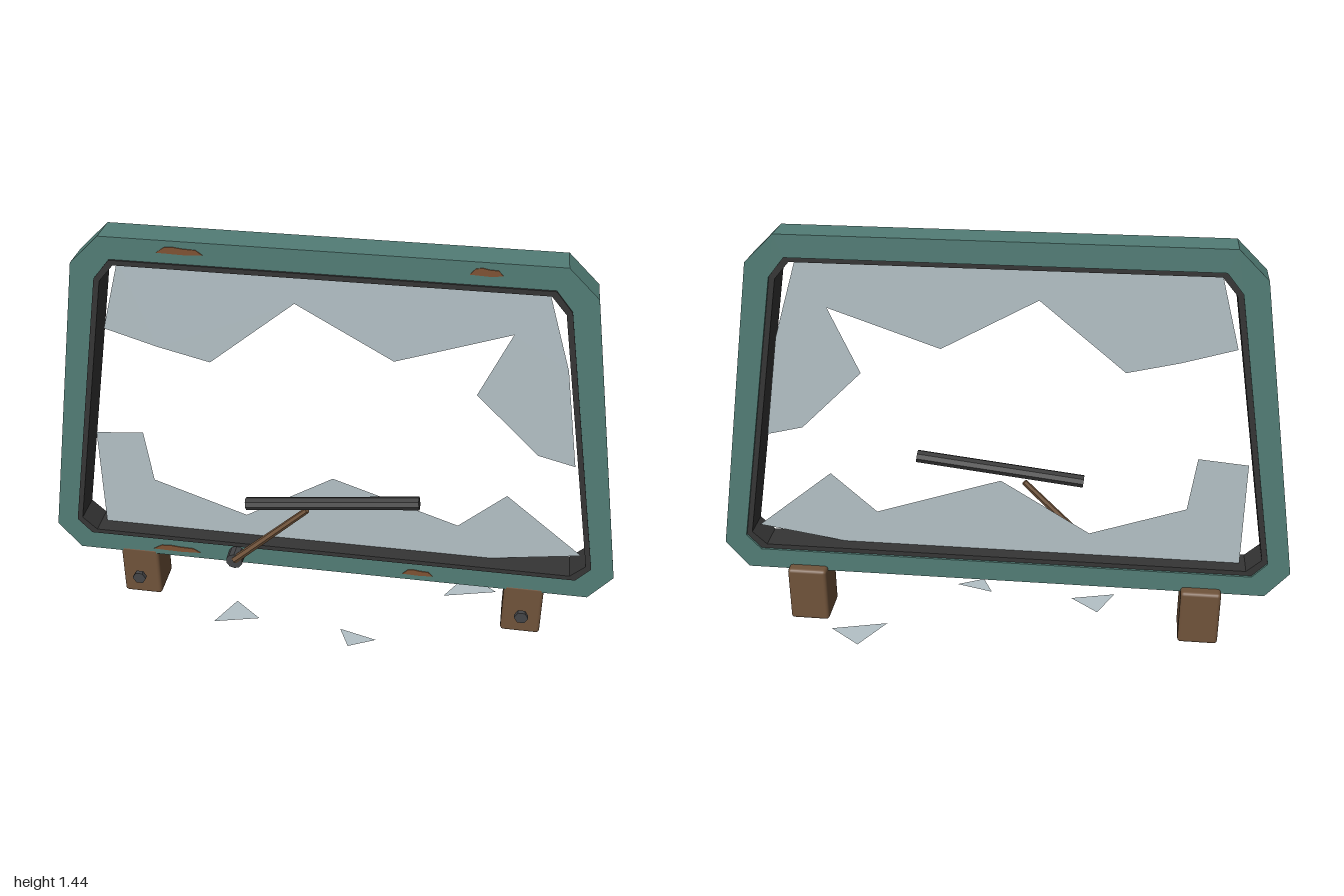
import * as THREE from 'three';
import { RoundedBoxGeometry } from 'three/addons/geometries/RoundedBoxGeometry.js';

const material = (name, color, side = THREE.FrontSide) => {
  const m = new THREE.MeshStandardMaterial({ color, side });
  m.name = name;
  return m;
};

const polygon = (points) => points.map(([x, y]) => new THREE.Vector2(x, y));

// Mirrors the right half of an outline, listed from bottom to top
const mirrored = (half) => polygon([...half, ...[...half].reverse().map(([x, y]) => [-x, y])]);

// A ring cut from an outline, spanning z0 to z1
function ring(outer, inner, z0, z1) {
  const shape = new THREE.Shape(mirrored(outer));
  shape.holes.push(new THREE.Path(mirrored(inner)));
  return new THREE.ExtrudeGeometry(shape, { depth: z1 - z0, bevelEnabled: false }).translate(0, 0, z0);
}

// A straight rod between two points
function rod(a, b, r0, r1, sides) {
  const from = new THREE.Vector3(...a);
  const dir = new THREE.Vector3(...b).sub(from);
  const geo = new THREE.CylinderGeometry(r1, r0, dir.length(), sides).toNonIndexed();
  geo.computeVertexNormals();
  geo.applyQuaternion(new THREE.Quaternion().setFromUnitVectors(new THREE.Vector3(0, 1, 0), dir.clone().normalize()));
  return geo.translate(...from.addScaledVector(dir, 0.5).toArray());
}

export function createModel() {
  const group = new THREE.Group();
  const paint = material('green paint', 0x527d76);
  const rubber = material('rubber', 0x353535);
  const steel = material('dark steel', 0x444547);
  const rust = material('rusty brown', 0x70533a);
  const patchRust = material('rust patch', 0x7f5233);
  const glass = material('glass', 0xb4c1c6, THREE.DoubleSide);

  const add = (name, geo, mat) => {
    const mesh = new THREE.Mesh(geo, mat);
    mesh.name = name;
    group.add(mesh);
    return mesh;
  };

  // Frame and the seal lining its opening
  const outer = [[0.92, 0.193], [1, 0.29], [0.83, 1.347], [0.73, 1.445]];
  const opening = [[0.87, 0.268], [0.92, 0.323], [0.755, 1.3], [0.7, 1.368]];
  const sealInner = [[0.85, 0.285], [0.9, 0.333], [0.737, 1.292], [0.687, 1.351]];
  add('frame', ring(outer, opening, -0.06, 0.05), paint);
  add('seal', ring(opening, sealInner, -0.052, 0.057), rubber);

  // Broken glass left in the frame
  const upper = [
    [-0.76, 1.09], [-0.58, 1.035], [-0.404, 0.992], [-0.115, 1.233], [0.21, 1.05], [0.586, 1.18],
    [0.484, 0.95], [0.7, 0.735], [0.826, 0.703], [0.767, 1.067], [0.68, 1.345], [-0.69, 1.345],
  ];
  const lower = [
    [-0.83, 0.284], [0.57, 0.284], [0.885, 0.334], [0.612, 0.56], [0.452, 0.414], [0.01, 0.565],
    [-0.302, 0.372], [-0.634, 0.49], [-0.66, 0.687], [-0.83, 0.672],
  ];
  add('upperGlass', new THREE.ShapeGeometry(new THREE.Shape(polygon(upper))), glass);
  add('lowerGlass', new THREE.ShapeGeometry(new THREE.Shape(polygon(lower))), glass);

  // Shards lying on the ground, as [x, z] corners
  const shards = [
    [[0.495, -0.238], [0.607, -0.152], [0.414, -0.1]],
    [[0.06, 0.142], [0.195, 0.18], [0.1, 0.227]],
    [[-0.4, 0.174], [-0.34, 0.05], [-0.24, 0.132]],
  ];
  shards.forEach((corners, i) => {
    const flat = corners.map(([x, z]) => [x, -z]);
    const geo = new THREE.ShapeGeometry(new THREE.Shape(polygon(flat)));
    add(`groundShard${i + 1}`, geo.rotateX(-Math.PI / 2).translate(0, 0.006, 0), glass);
  });

  // Mounting feet with hex bolts
  for (const [side, s] of [['left', 1], ['right', -1]]) {
    const foot = new RoundedBoxGeometry(0.14, 0.208, 0.15, 2, 0.012);
    add(`${side}Foot`, foot.translate(0.7 * s, 0.106, -0.024), rust);
    const bolt = new THREE.CylinderGeometry(0.025, 0.025, 0.016, 6).toNonIndexed();
    bolt.computeVertexNormals();
    bolt.rotateY(Math.PI / 6).rotateX(Math.PI / 2);
    add(`${side}Bolt`, bolt.translate(0.7 * s, 0.097, 0.078), steel);
  }

  // Wiper
  add('wiperPivot', rod([-0.332, 0.234, 0.05], [-0.332, 0.234, 0.1], 0.03, 0.03, 10), steel);
  add('wiperArm', rod([-0.332, 0.238, 0.095], [-0.062, 0.503, 0.112], 0.014, 0.011, 6), rust);
  add('wiperBlade', rod([-0.272, 0.513, 0.12], [0.323, 0.582, 0.12], 0.023, 0.023, 8), rubber);

  // Rust patches on the front face: [x, y, width, height]
  const patches = [
    [-0.468, 1.413, 0.15, 0.024], [0.487, 1.413, 0.102, 0.026],
    [-0.556, 0.227, 0.176, 0.024], [0.323, 0.227, 0.107, 0.024],
  ];
  patches.forEach(([x, y, w, h], i) => {
    const shape = new THREE.Shape(polygon([
      [-0.5, -0.4], [0.1, -0.5], [0.5, -0.35], [0.35, 0.3], [0.08, 0.35], [-0.12, 0.5], [-0.32, 0.4],
    ]));
    const geo = new THREE.ExtrudeGeometry(shape, { depth: 0.004, bevelEnabled: false });
    add(`rustPatch${i + 1}`, geo.scale(w, h, 1).translate(x, y, 0.049), patchRust);
  });

  return group;
}
